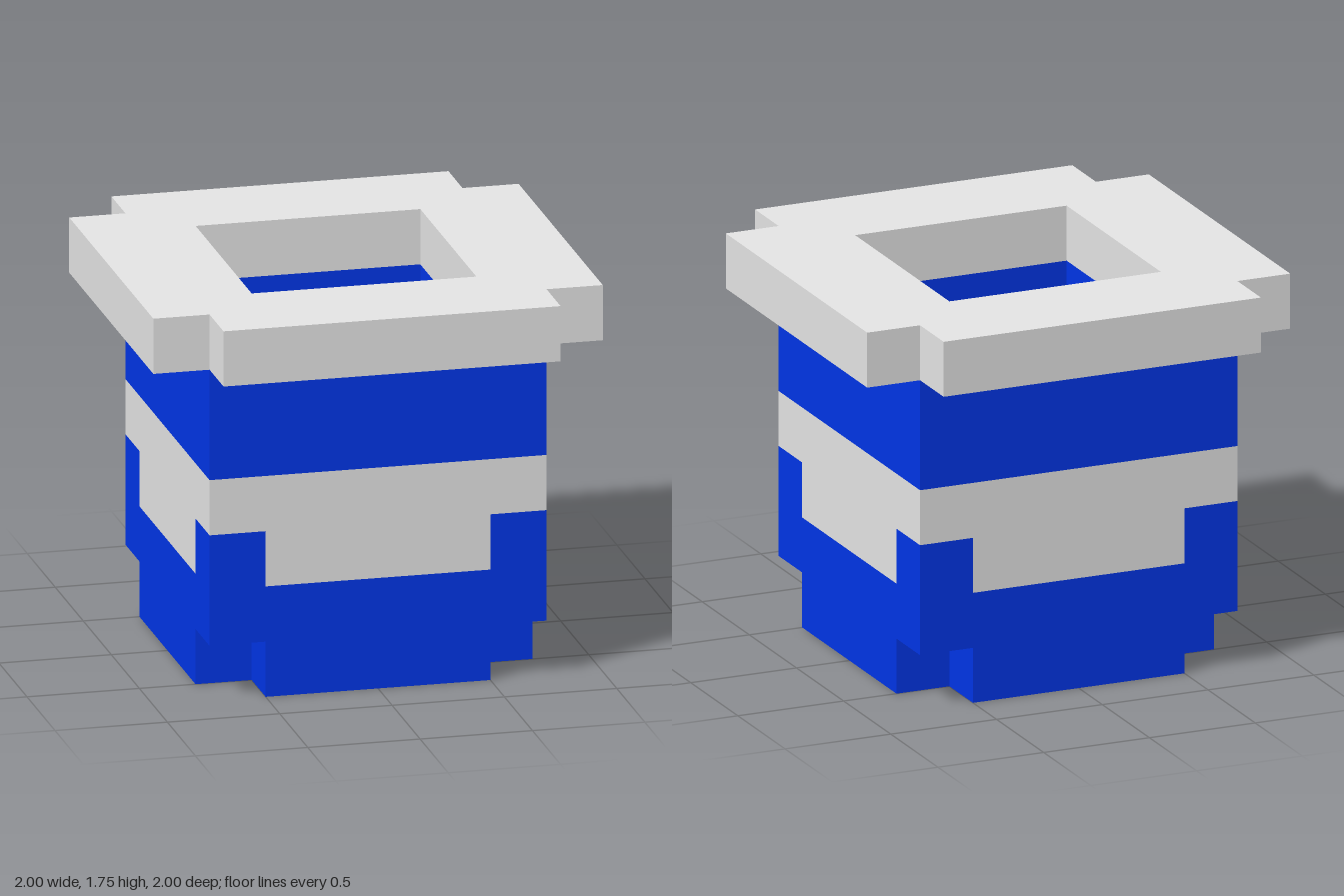
import * as THREE from 'three';

const U = 0.25; // block unit

export function createModel() {
  const blue = new THREE.MeshStandardMaterial({ name: 'blue', color: 0x0035e8 });
  const grey = new THREE.MeshStandardMaterial({ name: 'light grey', color: 0xe5e5e5 });
  const model = new THREE.Group();
  model.name = 'pot';

  const add = (name, geometry, material, x, y, z) => {
    const mesh = new THREE.Mesh(geometry, material);
    mesh.name = name;
    mesh.position.set(x, y, z);
    model.add(mesh);
    return mesh;
  };

  const square = (h) => [[-h, -h], [h, -h], [h, h], [-h, h]];
  const toPoints = (list) => list.map(([x, y]) => new THREE.Vector2(x, y));

  // Upright slab with a square opening through it
  const ring = (name, outline, y, height, material) => {
    const shape = new THREE.Shape(toPoints(outline));
    shape.holes.push(new THREE.Path(toPoints(square(2 * U).reverse())));
    const geometry = new THREE.ExtrudeGeometry(shape, { depth: height, bevelEnabled: false });
    geometry.rotateX(-Math.PI / 2);
    add(name, geometry, material, 0, y, 0);
  };

  // Base: floor block with a foot strip along each side
  add('floor', new THREE.BoxGeometry(4 * U, U, 4 * U), grey, 0, U / 2, 0);
  for (let i = 0; i < 4; i++) {
    const a = (i * Math.PI) / 2;
    const x = Math.sin(a) * 2.5 * U;
    const z = Math.cos(a) * 2.5 * U;
    add('footStrip', new THREE.BoxGeometry(4 * U, U, U), blue, x, U / 2, z).rotation.y = a;
    // Patterned course: grey panels between blue corner blocks
    add('sidePanel', new THREE.BoxGeometry(4 * U, U, U), grey, x, 2.5 * U, z).rotation.y = a;
    const sx = i % 2 ? 1 : -1;
    const sz = i < 2 ? 1 : -1;
    add('cornerBlock', new THREE.BoxGeometry(U, U, U), blue, sx * 2.5 * U, 2.5 * U, sz * 2.5 * U);
  }

  // Wall courses
  ring('lowerWall', square(3 * U), U, U, blue);
  ring('greyBand', square(3 * U), 3 * U, U, grey);
  ring('upperWall', square(3 * U), 4 * U, 2 * U, blue);

  // Overhanging rim with notched corners
  const a = 3 * U;
  const b = 4 * U;
  const cross = [
    [-a, -b], [a, -b], [a, -a], [b, -a], [b, a], [a, a],
    [a, b], [-a, b], [-a, a], [-b, a], [-b, -a], [-a, -a],
  ];
  ring('rim', cross, 6 * U, U, grey);

  return model;
}
